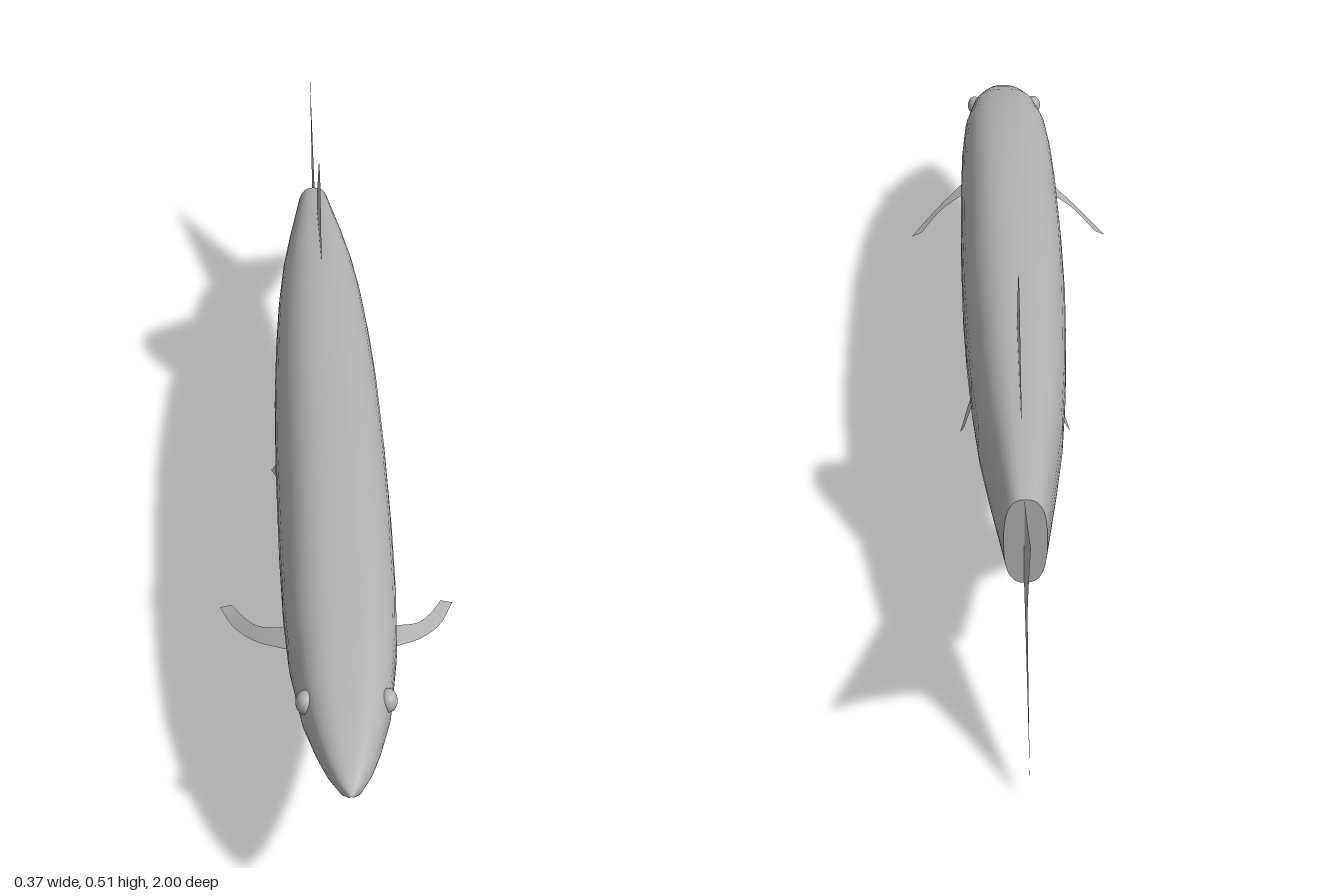
import * as THREE from 'three';

const skin = new THREE.MeshStandardMaterial({ color: 0xb0b0b0 });
skin.name = 'grey skin';
const finSkin = new THREE.MeshStandardMaterial({ color: 0xb0b0b0, side: THREE.DoubleSide });
finSkin.name = 'grey fin';

// Body stations from nose to tail: z, top, bottom, half width
const STATIONS = [
  [1.0, 0.233, 0.229, 0.002], [0.985, 0.246, 0.219, 0.016], [0.947, 0.264, 0.208, 0.034],
  [0.9, 0.282, 0.197, 0.049], [0.83, 0.306, 0.18, 0.066], [0.7, 0.342, 0.15, 0.082],
  [0.58, 0.362, 0.131, 0.088], [0.42, 0.38, 0.115, 0.091], [0.2, 0.386, 0.112, 0.092],
  [0, 0.388, 0.112, 0.09], [-0.15, 0.383, 0.115, 0.085], [-0.29, 0.375, 0.121, 0.078],
  [-0.42, 0.36, 0.13, 0.068], [-0.53, 0.345, 0.141, 0.055], [-0.7, 0.315, 0.165, 0.033],
];
const SIDES = 40;

// One superellipse cross-section
function ring([z, top, bottom, halfWidth]) {
  const bend = (v) => Math.sign(v) * Math.abs(v) ** (2 / 2.65);
  return Array.from({ length: SIDES }, (_, j) => {
    const a = (j / SIDES) * Math.PI * 2;
    return [halfWidth * bend(Math.cos(a)), (top + bottom) / 2 + ((top - bottom) / 2) * bend(Math.sin(a)), z];
  });
}

function surface(points, index) {
  const g = new THREE.BufferGeometry();
  g.setAttribute('position', new THREE.Float32BufferAttribute(points.flat(), 3));
  g.setIndex(index);
  g.computeVertexNormals();
  return g;
}

function bodyGeometry() {
  const index = [];
  for (let i = 0; i < STATIONS.length - 1; i++) {
    for (let j = 0; j < SIDES; j++) {
      const k = (j + 1) % SIDES;
      const a = i * SIDES + j, b = i * SIDES + k;
      index.push(a, a + SIDES, b, b, a + SIDES, b + SIDES);
    }
  }
  return surface(STATIONS.flatMap(ring), index);
}

// Flat end of the body behind which the tail fin starts
function capGeometry() {
  const points = [[0, 0.24, -0.7], ...ring(STATIONS.at(-1))];
  const index = [];
  for (let j = 0; j < SIDES; j++) index.push(0, 1 + ((j + 1) % SIDES), 1 + j);
  return surface(points, index);
}

// Upright fin drawn with (z, y) points, turned into the middle plane
function uprightFin(shape) {
  const g = new THREE.ShapeGeometry(shape, 10);
  g.rotateY(-Math.PI / 2);
  g.translate(0.002, 0, 0);
  return g;
}

const outline = (pts) => new THREE.Shape(pts.map(([z, y]) => new THREE.Vector2(z, y)));

// Curved strip between a leading and a trailing edge
function sideFin(lead, trail, side) {
  const curve = (pts) => new THREE.CatmullRomCurve3(pts.map(([x, y, z]) => new THREE.Vector3(x * side, y, z)));
  const a = curve(lead), b = curve(trail), n = 10;
  const points = [], index = [];
  for (let i = 0; i <= n; i++) {
    points.push(a.getPoint(i / n).toArray(), b.getPoint(i / n).toArray());
    const k = i * 2;
    if (i < n) {
      index.push(...(side > 0 ? [k, k + 2, k + 1, k + 1, k + 2, k + 3] : [k, k + 1, k + 2, k + 1, k + 3, k + 2]));
    }
  }
  return surface(points, index);
}

export function createModel() {
  const fish = new THREE.Group();
  fish.name = 'fish';
  const add = (name, geometry, material) => {
    const mesh = new THREE.Mesh(geometry, material);
    mesh.name = name;
    fish.add(mesh);
    return mesh;
  };

  add('body', bodyGeometry(), skin);
  add('tailEnd', capGeometry(), skin);

  // Forked tail fin with gently curved edges
  const tail = new THREE.Shape();
  tail.moveTo(-0.695, 0.315);
  tail.quadraticCurveTo(-0.84, 0.367, -1, 0.435);
  tail.quadraticCurveTo(-0.91, 0.32, -0.865, 0.23);
  tail.quadraticCurveTo(-0.91, 0.135, -1, 0.03);
  tail.quadraticCurveTo(-0.84, 0.105, -0.695, 0.165);
  add('tailFin', uprightFin(tail), finSkin);

  // Upper and lower fins, rooted inside the body
  add('dorsalFin', uprightFin(outline([
    [-0.275, 0.36], [-0.282, 0.385], [-0.318, 0.455], [-0.35, 0.504], [-0.372, 0.516], [-0.405, 0.516],
    [-0.43, 0.503], [-0.48, 0.448], [-0.54, 0.385], [-0.525, 0.33],
  ])), finSkin);
  add('analFin', uprightFin(outline([
    [-0.275, 0.14], [-0.282, 0.115], [-0.32, 0.055], [-0.355, 0.01], [-0.375, 0.001], [-0.41, 0.006],
    [-0.435, 0.022], [-0.48, 0.072], [-0.522, 0.112], [-0.515, 0.155],
  ])), finSkin);

  // Paired fins and eyes
  for (const side of [1, -1]) {
    const label = side > 0 ? 'left' : 'right';
    add(label + 'PectoralFin', sideFin(
      [[0.08, 0.199, 0.625], [0.13, 0.173, 0.57], [0.165, 0.159, 0.515], [0.187, 0.158, 0.46]],
      [[0.08, 0.199, 0.57], [0.125, 0.18, 0.54], [0.148, 0.171, 0.505], [0.168, 0.165, 0.463]], side), finSkin);
    add(label + 'PelvicFin', sideFin(
      [[0.048, 0.13, 0.06], [0.065, 0.094, 0.025], [0.082, 0.07, -0.025], [0.097, 0.052, -0.088]],
      [[0.048, 0.13, -0.008], [0.062, 0.102, -0.022], [0.077, 0.078, -0.05], [0.09, 0.062, -0.088]], side), finSkin);
    const eye = add(label + 'Eye', new THREE.SphereGeometry(0.018, 20, 14), skin);
    eye.scale.x = 0.8;
    eye.position.set(side * 0.06, 0.268, 0.835);
  }
  return fish;
}
